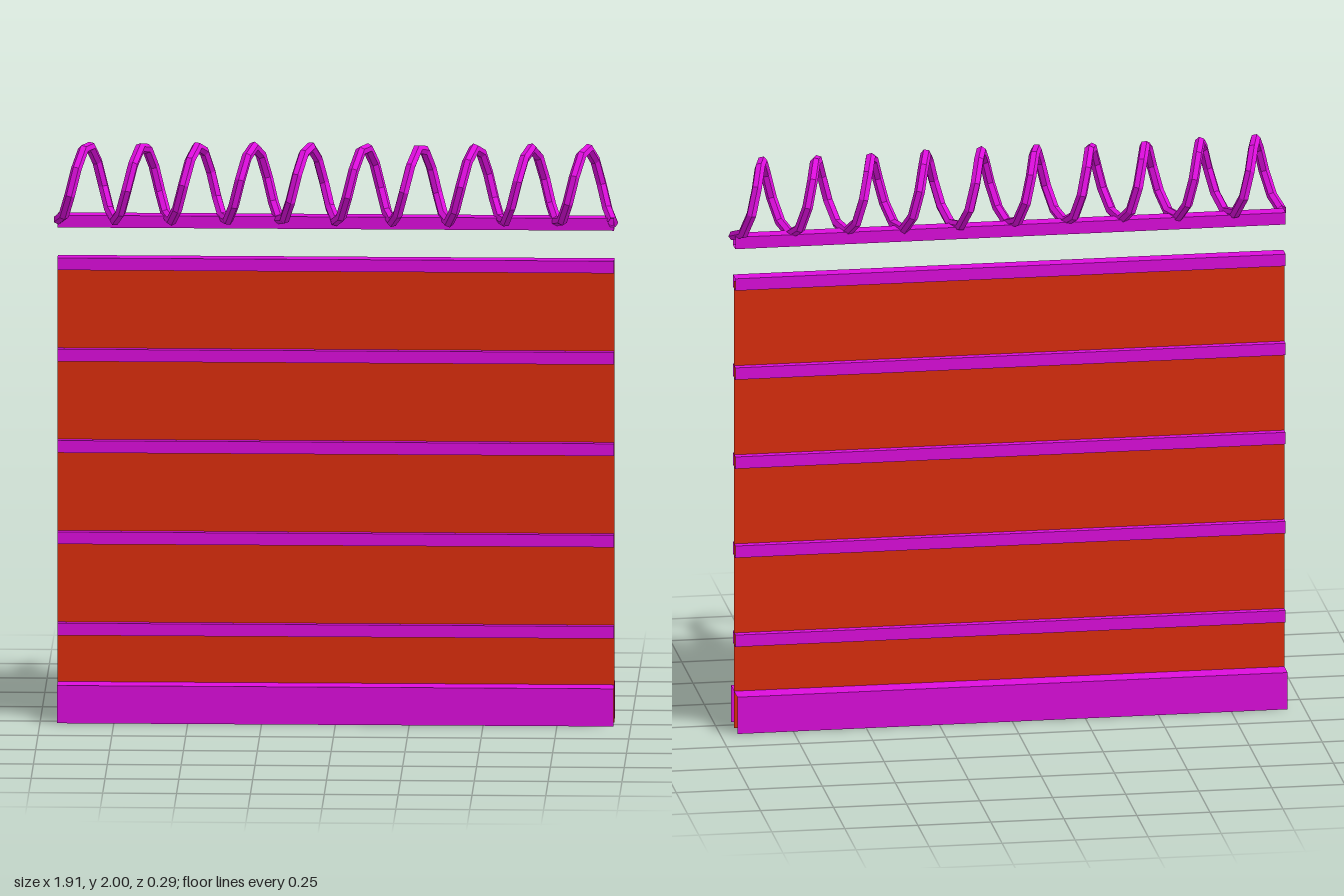
import * as THREE from 'three';

const HALF = 0.942;   // half length of the fence
const MID_Z = -0.036; // plane of the panel

const metal = new THREE.MeshStandardMaterial({ color: 0xdd0ddd, flatShading: true, side: THREE.DoubleSide });
const sheet = new THREE.MeshStandardMaterial({ color: 0xdd2e0d, flatShading: true, side: THREE.DoubleSide });

// Sweep a [z, y] profile along x, leaving the ends open
function sweep(name, profile, material) {
  const pos = [];
  for (let i = 0; i < profile.length - 1; i++) {
    const [z0, y0] = profile[i], [z1, y1] = profile[i + 1];
    const a = [-HALF, y0, z0], b = [HALF, y0, z0], c = [HALF, y1, z1], d = [-HALF, y1, z1];
    pos.push(...a, ...b, ...c, ...a, ...c, ...d);
  }
  const geo = new THREE.BufferGeometry();
  geo.setAttribute('position', new THREE.Float32BufferAttribute(pos, 3));
  geo.computeVertexNormals();
  const mesh = new THREE.Mesh(geo, material);
  mesh.name = name;
  mesh.position.z = MID_Z;
  return mesh;
}

// Helix starting at the bottom and rising over the front
class Helix extends THREE.Curve {
  constructor(radius, turns) {
    super();
    this.radius = radius;
    this.turns = turns;
    this.arcLengthDivisions = 800;
  }
  getPoint(t, target = new THREE.Vector3()) {
    const a = t * this.turns * Math.PI * 2;
    return target.set((2 * t - 1) * (HALF - 0.003), 1.857 - this.radius * Math.cos(a), this.radius * Math.sin(a));
  }
}

export function createModel() {
  const group = new THREE.Group();

  // Thin panel and the inverted channel at its foot
  group.add(sweep('panel', [[0, 0], [0, 1.58]], sheet));
  group.add(sweep('baseChannel', [[0.071, 0], [0.071, 0.13], [-0.071, 0.13], [-0.071, 0]], metal));

  // Hollow rails: five on the panel, one carrying the wire
  const w = 0.026, h = 0.021;
  const rail = (name, y) =>
    sweep(name, [[w, y - h], [w, y + h], [-w, y + h], [-w, y - h], [w, y - h]], metal);
  for (let i = 0; i < 5; i++) group.add(rail('panelRail' + (i + 1), 0.315 + i * 0.315));
  group.add(rail('wireRail', 1.722));

  // Coiled wire along the top
  const coil = new THREE.Mesh(new THREE.TubeGeometry(new Helix(0.126, 10), 88, 0.018, 6, false), metal);
  coil.name = 'wireCoil';
  group.add(coil);

  return group;
}
